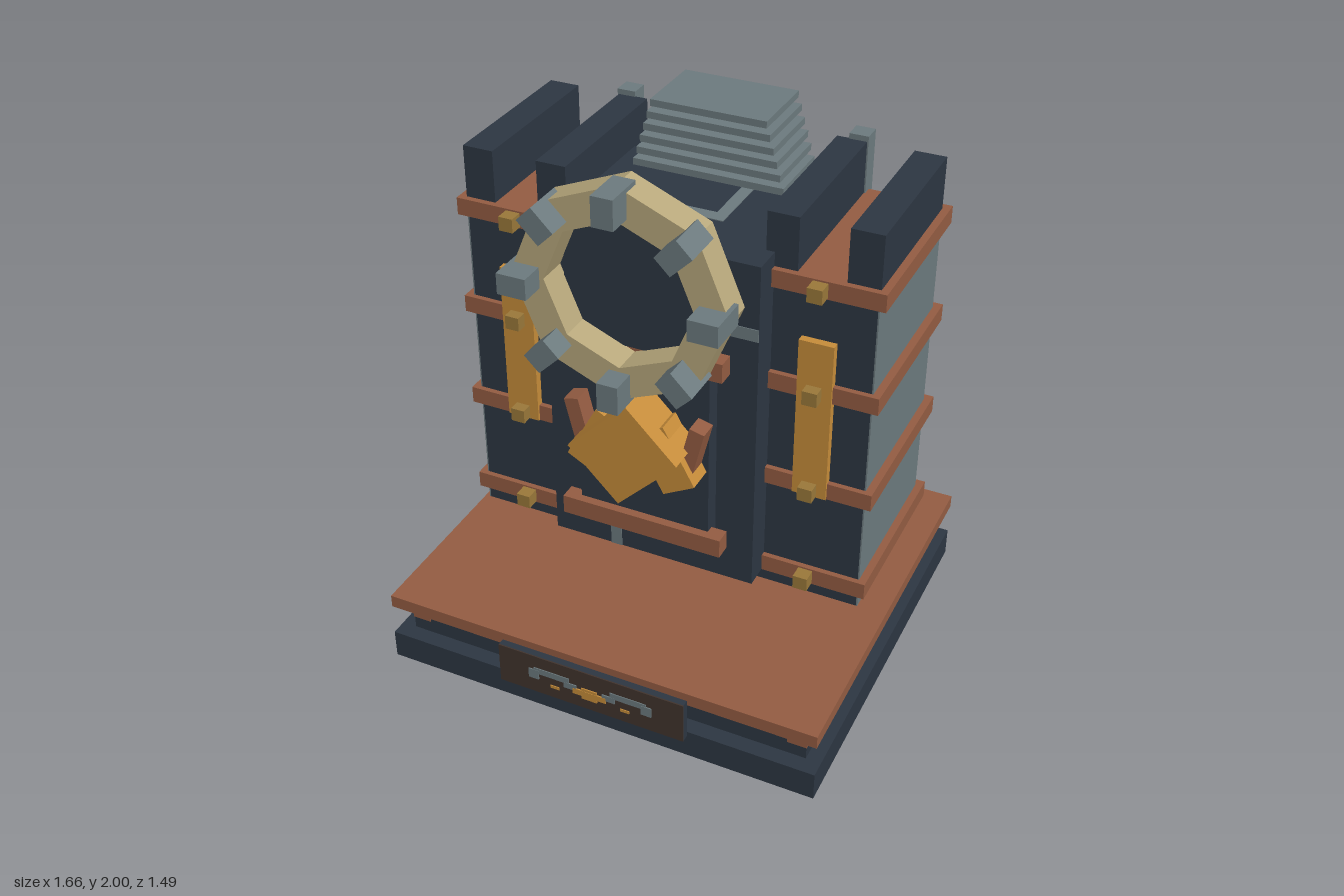
import * as THREE from 'three';

const mat = (name, color) => {
  const m = new THREE.MeshStandardMaterial({ color });
  m.name = name;
  return m;
};

export function createModel() {
  const model = new THREE.Group();
  model.name = 'ornateVault';
  const navy = mat('navy iron', 0x2d3642);
  const copper = mat('copper', 0x945c42);
  const steel = mat('grey steel', 0x6c7a7e);
  const amber = mat('amber', 0xc68c3a);
  const brass = mat('brass', 0x9a783a);
  const cream = mat('cream', 0xb8a87c);
  const brown = mat('dark brown', 0x40332d);

  // box from its extents on each axis
  const box = (name, m, x0, x1, y0, y1, z0, z1, parent = model) => {
    const mesh = new THREE.Mesh(new THREE.BoxGeometry(x1 - x0, y1 - y0, z1 - z0), m);
    mesh.position.set((x0 + x1) / 2, (y0 + y1) / 2, (z0 + z1) / 2);
    mesh.name = name;
    parent.add(mesh);
    return mesh;
  };
  // same box on both sides
  const pair = (name, m, x0, x1, ...rest) => [
    box(name + 'Left', m, x0, x1, ...rest),
    box(name + 'Right', m, -x1, -x0, ...rest),
  ];

  // stepped plinth
  box('plinthFoot', navy, -0.83, 0.83, 0, 0.11, -0.74, 0.71);
  box('plinthStep', navy, -0.775, 0.775, 0.11, 0.23, -0.68, 0.65);
  box('plinthTop', copper, -0.83, 0.83, 0.23, 0.28, -0.74, 0.705);
  for (const z of [-0.648, 0.618]) pair('plinthCorner', copper, 0.705, 0.777, 0.16, 0.23, z - 0.035, z + 0.035);

  // plaque with a simple scroll ornament
  box('plaque', navy, -0.36, 0.36, 0.09, 0.255, 0.71, 0.735);
  box('plaqueFace', brown, -0.36, 0.36, 0.09, 0.255, 0.735, 0.74);
  pair('scrollBar', steel, 0.08, 0.22, 0.18, 0.205, 0.74, 0.743);
  pair('scrollEnd', steel, 0.2, 0.24, 0.155, 0.195, 0.74, 0.744);
  pair('scrollInner', steel, 0.05, 0.1, 0.16, 0.185, 0.74, 0.744);
  box('plaqueGem', amber, -0.065, 0.065, 0.148, 0.172, 0.74, 0.745);
  box('plaqueGemTip', amber, -0.03, 0.03, 0.135, 0.183, 0.74, 0.744);
  pair('plaqueStud', amber, 0.12, 0.155, 0.135, 0.147, 0.74, 0.743);

  // central body with angled inlay strips
  box('body', navy, -0.39, 0.39, 0.42, 1.7, -0.38, 0.237);
  box('frontInlayUpright', steel, -0.165, -0.122, 0.42, 1.47, 0.237, 0.24);
  box('frontInlayBar', steel, -0.165, 0.39, 1.425, 1.47, 0.237, 0.24);
  box('backInlayUpright', steel, 0.12, 0.163, 0.42, 1.46, -0.383, -0.38);
  box('backInlayBar', steel, -0.39, 0.163, 1.415, 1.46, -0.383, -0.38);
  box('topInlayUpright', steel, 0.115, 0.158, -0 + 1.7, 1.703, -0.38, 0.01);
  box('topInlayBar', steel, -0.36, 0.158, 1.7, 1.703, -0.04, 0.01);

  // side towers, fins and rear posts
  pair('tower', navy, 0.36, 0.745, 0.365, 1.62, -0.485, 0.128);
  pair('towerSidePanel', steel, 0.745, 0.75, 0.365, 1.62, -0.485, 0.128);
  pair('outerFin', navy, 0.637, 0.75, 1.62, 1.84, -0.485, 0.125);
  pair('innerFin', navy, 0.36, 0.47, 1.6, 1.84, -0.485, 0.125);
  pair('rearPost', steel, 0.405, 0.475, 0.48, 1.86, -0.55, -0.48);
  pair('amberPanel', amber, 0.495, 0.618, 0.81, 1.42, 0.128, 0.157);
  for (const y of [0.453, 0.84, 1.23, 1.617]) {
    pair('band', copper, 0.335, 0.777, y - 0.032, y + 0.032, -0.517, 0.148);
    pair('bandStud', brass, 0.53, 0.583, y - 0.026, y + 0.026, 0.148, 0.2);
  }

  // slanted rear brackets
  for (let i = 0; i < 4; i++) {
    const y = 0.57 + i * 0.33;
    const [l, r] = pair('rearBracket', copper, 0.315, 0.375, y - 0.1, y + 0.1, -0.45, -0.375);
    l.rotation.z = -0.55;
    r.rotation.z = 0.55;
  }

  // tapering stack of vent plates
  for (let i = 0; i < 6; i++) {
    const w = 0.28 - i * 0.0135, y = 1.72 + i * 0.046;
    box('ventPlate', steel, -w, w, y, y + 0.025, -0.49, -0.21);
  }

  // door and its rails
  box('door', navy, -0.247, 0.247, 0.615, 1.28, 0.237, 0.3);
  for (const y of [0.615, 1.335]) box('doorRail', copper, -0.305, 0.305, y - 0.036, y + 0.036, 0.27, 0.332);

  // crystal cluster on the door
  const gem = box('crystal', amber, -0.132, 0.132, 0.848, 1.158, 0.3, 0.462);
  gem.rotation.z = -Math.PI / 4;
  const shards = pair('crystalShard', amber, 0.06, 0.19, 0.86, 1.1, 0.3, 0.4);
  const claws = pair('crystalClaw', copper, 0.18, 0.235, 0.885, 1.115, 0.3, 0.372);
  [1, -1].forEach((s, i) => {
    shards[i].rotation.z = s * 0.5;
    claws[i].rotation.z = -s * 0.24;
  });

  // octagonal ring with eight blocks over a dark backing
  const ring = new THREE.Group();
  ring.name = 'ring';
  ring.position.set(0, 1.615, 0);
  model.add(ring);
  const octagon = (r) => Array.from({ length: 8 }, (_, i) =>
    new THREE.Vector2(r * Math.cos(i * Math.PI / 4), r * Math.sin(i * Math.PI / 4)));
  const shape = new THREE.Shape(octagon(0.385));
  shape.holes.push(new THREE.Path(octagon(0.265).reverse()));
  const rim = new THREE.Mesh(new THREE.ExtrudeGeometry(shape, { depth: 0.112, bevelEnabled: false }), cream);
  rim.name = 'ringRim';
  rim.position.z = 0.348;
  ring.add(rim);
  box('ringBacking', navy, -0.25, 0.25, -0.25, 0.25, 0.33, 0.352, ring);
  for (let i = 0; i < 8; i++) {
    const arm = new THREE.Group();
    arm.name = 'ringBlockArm';
    arm.rotation.z = i * Math.PI / 4;
    box('ringBlock', steel, 0.28, 0.385, -0.038, 0.038, 0.398, 0.55, arm);
    ring.add(arm);
  }
  return model;
}
